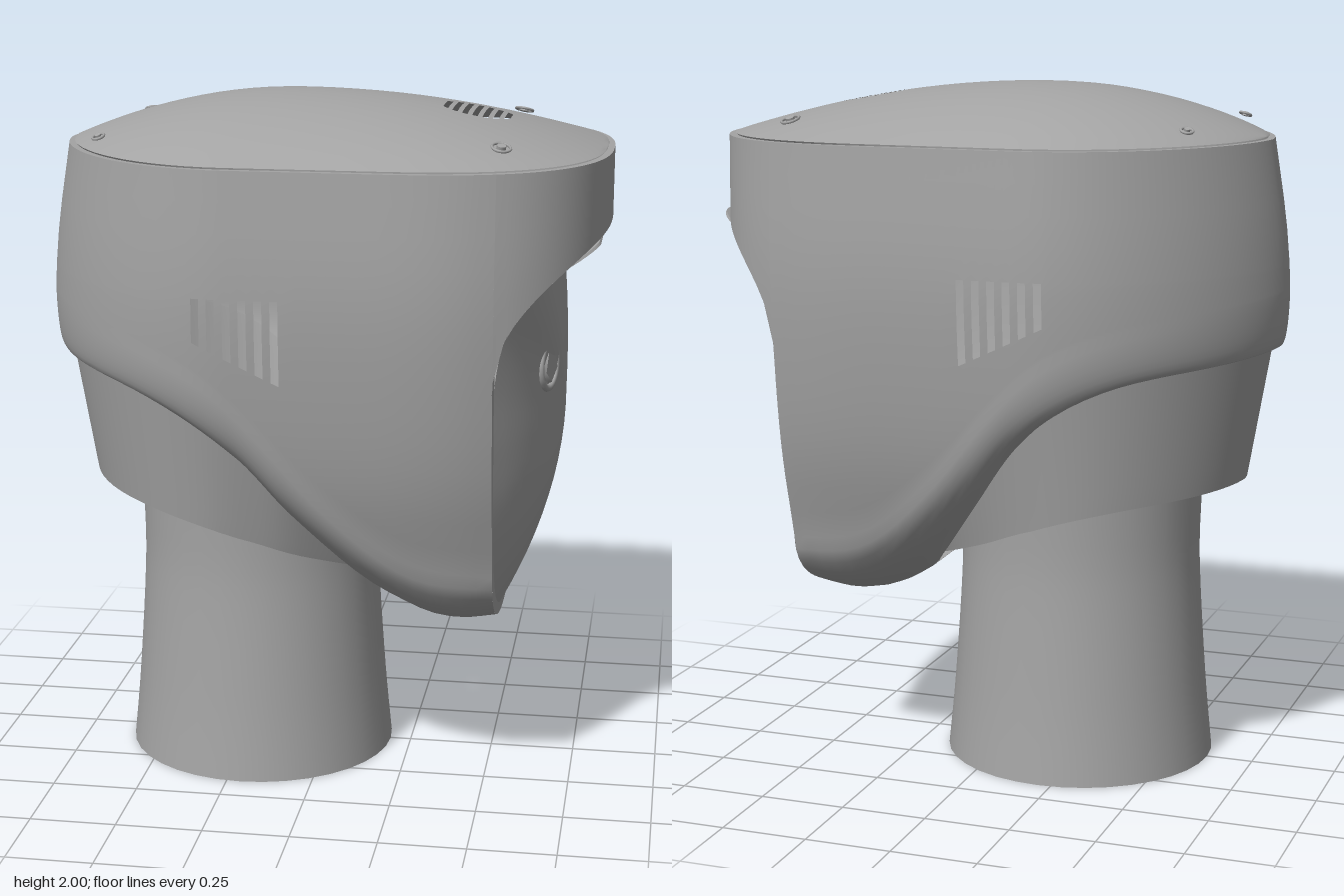
import * as THREE from 'three';
import { toCreasedNormals } from 'three/addons/utils/BufferGeometryUtils.js';

const grey = new THREE.MeshStandardMaterial({ color: 0xa4a4a4, side: THREE.DoubleSide });
grey.name = 'grey';

// Smooth interpolation through [x, y] pairs
function smooth(pts) {
  const m = pts.map((p, i) => {
    const a = pts[Math.max(0, i - 1)], b = pts[Math.min(pts.length - 1, i + 1)];
    return (b[1] - a[1]) / (b[0] - a[0]);
  });
  return (x) => {
    if (x <= pts[0][0]) return pts[0][1];
    for (let i = 0; i < pts.length - 1; i++) {
      const [x0, y0] = pts[i], [x1, y1] = pts[i + 1];
      if (x > x1) continue;
      const h = x1 - x0, t = (x - x0) / h, t2 = t * t, t3 = t2 * t;
      return (2 * t3 - 3 * t2 + 1) * y0 + (t3 - 2 * t2 + t) * h * m[i]
        + (3 * t2 - 2 * t3) * y1 + (t3 - t2) * h * m[i + 1];
    }
    return pts[pts.length - 1][1];
  };
}
const span = (a, b, n) => Array.from({ length: n + 1 }, (_, i) => a + (b - a) * i / n);

// Surface from a list of point columns; skip(i, j) leaves holes
function surface(name, cols, skip = () => false) {
  const rows = cols[0].length, idx = [];
  for (let i = 0; i < cols.length - 1; i++) for (let j = 0; j < rows - 1; j++) {
    if (skip(i, j)) continue;
    const a = i * rows + j, d = a + rows;
    idx.push(a, d, d + 1, a, d + 1, a + 1);
  }
  const g = new THREE.BufferGeometry();
  g.setAttribute('position', new THREE.Float32BufferAttribute(cols.flat(2), 3));
  g.setIndex(idx);
  const mesh = new THREE.Mesh(toCreasedNormals(g, 0.5), grey);
  mesh.name = name;
  return mesh;
}

// Shape rules: plan half width, width and back scale by height, edges by x
const TOP = 1.85, FACE = 0.53;
const plan = (x) => {
  if (x > 0.2) return 0.615 * Math.max(0, 1 - ((x - 0.2) / 0.62) ** 2.6) ** 0.4;
  if (x < -0.2) return 0.615 * Math.max(0, 1 - ((x + 0.2) / 0.625) ** 2) ** 0.6;
  return 0.615;
};
const widthAt = smooth([[0.6, 0.74], [0.7, 0.78], [0.95, 0.9], [1.2, 0.965], [1.5, 1], [TOP, 0.975]]);
const backAt = smooth([[1.2, 1], [1.4, 1], [1.6, 0.975], [TOP, 0.912]]);
const creaseY = smooth([[-0.825, 1.42], [-0.47, 1.36], [-0.28, 1.28], [-0.12, 1.13], [0.06, 0.92], [0.28, 0.74], [0.53, 0.685]]);
const edgeY = smooth([[-0.825, 1.26], [-0.47, 1.2], [-0.2, 1.04], [-0.02, 0.82], [0.17, 0.6], [0.3, 0.49], [0.42, 0.46], [0.53, 0.475]]);
const tuck = smooth([[-0.825, 0.03], [-0.4, 0.08], [-0.1, 0.2], [0.05, 0.4], [0.17, 0.65], [0.28, 1], [0.4, 1], [0.53, 1]]);
const jawY = smooth([[-0.825, 0.865], [-0.5, 0.835], [-0.2, 0.765], [0, 0.68], [0.2, 0.59]]);
const cutY = (x) => 1.28 + 0.365 * Math.sqrt(Math.max(0, x - FACE) / 0.29);
const cutX = (y) => FACE + 0.29 * (Math.max(0, y - 1.28) / 0.365) ** 2;

// Point on the shell: f shrinks it inward, y may differ from the height yw that sets the width
function point(x, side, y, f = 1, yw = y, front = 1) {
  const X = x < -0.2 ? -0.2 + (x + 0.2) * backAt(yw) * f : x > 0.2 ? 0.2 + (x - 0.2) * front : x;
  return [X, y, side * plan(x) * widthAt(yw) * f];
}
const rim = (x, s) => point(x, s, TOP, 0.965, TOP, 0.965);
const band = (x, s, a) => {
  const c = creaseY(x);
  return point(x, s, c - (c - edgeY(x)) * Math.sin(a), Math.max(0, 1 - tuck(x) * (1 - Math.cos(a))), c);
};
const around = (xs) => [...xs.map((x) => [x, 1]), ...xs.slice(0, -1).reverse().map((x) => [x, -1])];
const backXs = (a, n) => span(a, Math.PI / 2, n).map((t) => -0.2 - 0.625 * Math.sin(t));
const frontXs = (a, n) => span(a, Math.PI / 2, n).map((t) => 0.2 + 0.62 * Math.sin(t));

export function createModel() {
  const head = new THREE.Group();
  head.name = 'head';

  // Side and back shell with slotted vents, tucked under into the chin
  const vents = span(-0.06, -0.28, 5);
  const xs = [...span(FACE, 0, 12), ...vents.flatMap((v) => [v + 0.011, v - 0.011]), ...backXs(0.177, 18)];
  const sides = around(xs);
  const ventY = (x) => Math.min(1.47, 1.26 - 0.48 * Math.min(0, x + 0.05));
  const shellCols = sides.map(([x, s]) => [
    rim(x, s),
    ...span(TOP, 1.5, 4).map((y) => point(x, s, y)),
    ...span(1.5, ventY(x), 3).slice(1).map((y) => point(x, s, y)),
    ...span(ventY(x), creaseY(x), 7).slice(1, -1).map((y) => point(x, s, y)),
    ...span(0, Math.PI / 2, 9).map((a) => band(x, s, a)),
    point(x, s, edgeY(x), Math.max(0, 0.96 - tuck(x)), creaseY(x)),
  ]);
  head.add(surface('shell', shellCols, (i, j) => {
    if (j < 5 || j > 7 || i + 1 >= sides.length || sides[i][1] !== sides[i + 1][1]) return false;
    const mid = (sides[i][0] + sides[i + 1][0]) / 2;
    return vents.some((v) => Math.abs(mid - v) < 0.004);
  }));

  // Overhanging brow
  const browXs = frontXs(Math.asin(0.33 / 0.62), 18);
  const browSides = [...browXs.map((x) => [x, -1]), ...browXs.slice(0, -1).reverse().map((x) => [x, 1])];
  head.add(surface('brow', browSides.map(([x, s]) =>
    [rim(x, s), ...span(TOP, cutY(x), 5).map((y) => point(x, s, y))])));

  // Domed lid with a round grille
  const grille = span(0.525, 0.345, 6);
  const lidXs = [...frontXs(0.6, 16).reverse(), ...grille.flatMap((v) => [v + 0.008, v - 0.008]),
    ...span(0.3, -0.2, 8), ...backXs(0.1, 16)].sort((a, b) => b - a);
  const slotHalf = (x) => 0.11 * Math.sqrt(Math.max(0.25, 1 - ((x - 0.435) / 0.115) ** 2));
  head.add(surface('lid', lidXs.map((x) => {
    const [X, , e] = point(x, 1, TOP, 0.972, TOP, 0.972);
    const l = Math.min(slotHalf(x), e * 0.4);
    const u = X > -0.1 ? (X + 0.1) / 0.91 : (X + 0.1) / 0.66;
    const zs = [...span(-e, -l, 8), ...span(-l, l, 4).slice(1, -1), ...span(l, e, 8)];
    return zs.map((z) => [X, 1.855 + 0.145 * Math.max(0, 1 - u * u) * (1 - (z / (e || 1)) ** 2), z]);
  }), (i, j) => {
    const mid = (lidXs[i] + lidXs[i + 1]) / 2;
    return j >= 8 && j < 12 && grille.some((v) => Math.abs(mid - v) < 0.004);
  }));

  // Screws on the lid
  for (const s of [1, -1]) for (const [x, y, z, r, tilt] of [[0.53, 1.902, 0.41, 0.026, -0.16], [-0.61, 1.895, 0.325, 0.017, 0.22]]) {
    const screw = new THREE.Group();
    screw.name = 'screw';
    const ring = new THREE.Mesh(new THREE.TorusGeometry(r, 0.004, 6, 20).rotateX(Math.PI / 2), grey);
    const cap = new THREE.Mesh(new THREE.CylinderGeometry(r * 0.5, r * 0.5, 0.012, 12), grey);
    ring.name = 'screwRing';
    cap.name = 'screwCap';
    screw.add(ring, cap);
    screw.position.set(x, y, s * z);
    screw.rotation.set(s * 0.3, 0, tilt);
    head.add(screw);
  }

  // Face opening: outer cut edge, inner panel outline
  const V = (x, y, z) => new THREE.Vector3(x, y, z);
  const outer = new THREE.CatmullRomCurve3([
    ...span(Math.PI / 2, 0, 9).map((a) => band(FACE, -1, a)),
    ...span(creaseY(FACE), 1.28, 6).slice(1).map((y) => point(FACE, -1, y)),
    ...browXs.slice(1).map((x) => point(x, -1, cutY(x))),
  ].map((p) => V(...p)), false, 'centripetal');
  const inner = new THREE.CatmullRomCurve3([[0, 0.5], [0.16, 0.52], [0.3, 0.585], [0.39, 0.69], [0.45, 0.87], [0.475, 1.05],
    [0.49, 1.25], [0.475, 1.4], [0.43, 1.49], [0.34, 1.525], [0.17, 1.53], [0, 1.53]]
    .map(([z, y]) => V(cutX(y), y, -z)), false, 'centripetal');
  const us = span(0, 1, 44);
  const loop = [...us.map((u) => [u, 1]), ...us.slice(0, -1).reverse().map((u) => [u, -1])];
  const at = (curve, u, s) => { const p = curve.getPointAt(u); return [p.x, p.y, p.z * s]; };
  head.add(surface('openingRim', loop.map(([u, s]) => {
    const a = at(outer, u, s), b = at(inner, u, s);
    return span(0, 1, 4).map((t) => {
      const y = a[1] + (b[1] - a[1]) * t;
      return [t === 0 ? a[0] : cutX(y), y, a[2] + (b[2] - a[2]) * t];
    });
  })));

  // Bulging face panel
  head.add(surface('facePanel', loop.map(([u, s]) => {
    const b = at(inner, u, s);
    return span(1, 0, 12).map((r) =>
      [b[0] + (0.7 - b[0]) * (1 - r * r), 1.12 + (b[1] - 1.12) * r, b[2] * r]);
  })));

  // Capsule inset under the brow
  const cap = new THREE.Shape();
  cap.absarc(0.27, 0, 0.08, -Math.PI / 2, Math.PI / 2);
  cap.absarc(-0.27, 0, 0.08, Math.PI / 2, Math.PI * 1.5);
  const inset = new THREE.Mesh(new THREE.ExtrudeGeometry(cap, { depth: 0.008, bevelEnabled: false, curveSegments: 14 }), grey);
  inset.name = 'browInset';
  inset.rotation.set(0.97, 0, 0);
  const insetHolder = new THREE.Group();
  insetHolder.name = 'browInsetHolder';
  insetHolder.add(inset);
  insetHolder.rotation.y = Math.PI / 2;
  insetHolder.position.set(0.73, 1.583, 0);
  head.add(insetHolder);

  // Eyes: round sockets with five-sided lenses
  for (const s of [1, -1]) {
    const eye = new THREE.Group();
    eye.name = s > 0 ? 'leftEye' : 'rightEye';
    const ring = new THREE.Mesh(new THREE.TorusGeometry(0.061, 0.01, 8, 28), grey);
    ring.name = 'eyeRing';
    const lens = new THREE.Mesh(new THREE.CylinderGeometry(0.045, 0.055, 0.02, 5).rotateX(Math.PI / 2), grey);
    lens.name = 'eyeLens';
    eye.add(ring, lens);
    eye.scale.y = 1.12;
    eye.position.set(0.662, 1.265, s * 0.235);
    eye.rotation.y = Math.PI / 2 - s * 0.3;
    head.add(eye);
  }

  // Jaw under the shell, closed below
  const jawXs = [...span(0.2, -0.2, 12), ...backXs(0.1, 16)];
  head.add(surface('jaw', around(jawXs).map(([x, s]) => {
    const f = 1 - tuck(x), c = creaseY(x), top = edgeY(x) + 0.05;
    return [...span(0, 1, 6).map((t) => point(x, s, top + (jawY(x) - top) * t, f * (0.97 - 0.125 * t), c)),
      point(x, s, jawY(x) + 0.01, f * 0.8, c),
      [point(x, s, 1, f * 0.8, c)[0], jawY(x) + 0.02, 0]];
  })));

  // Hollow flared neck
  const neckLine = new THREE.SplineCurve([[0.4, 0], [0.385, 0.15], [0.373, 0.3], [0.36, 0.5], [0.355, 0.65], [0.36, 0.82]]
    .map(([r, y]) => new THREE.Vector2(r, y)));
  const neck = new THREE.Mesh(new THREE.LatheGeometry(neckLine.getPoints(14), 36), grey);
  neck.name = 'neck';
  neck.position.x = -0.212;
  head.add(neck);

  return head;
}
